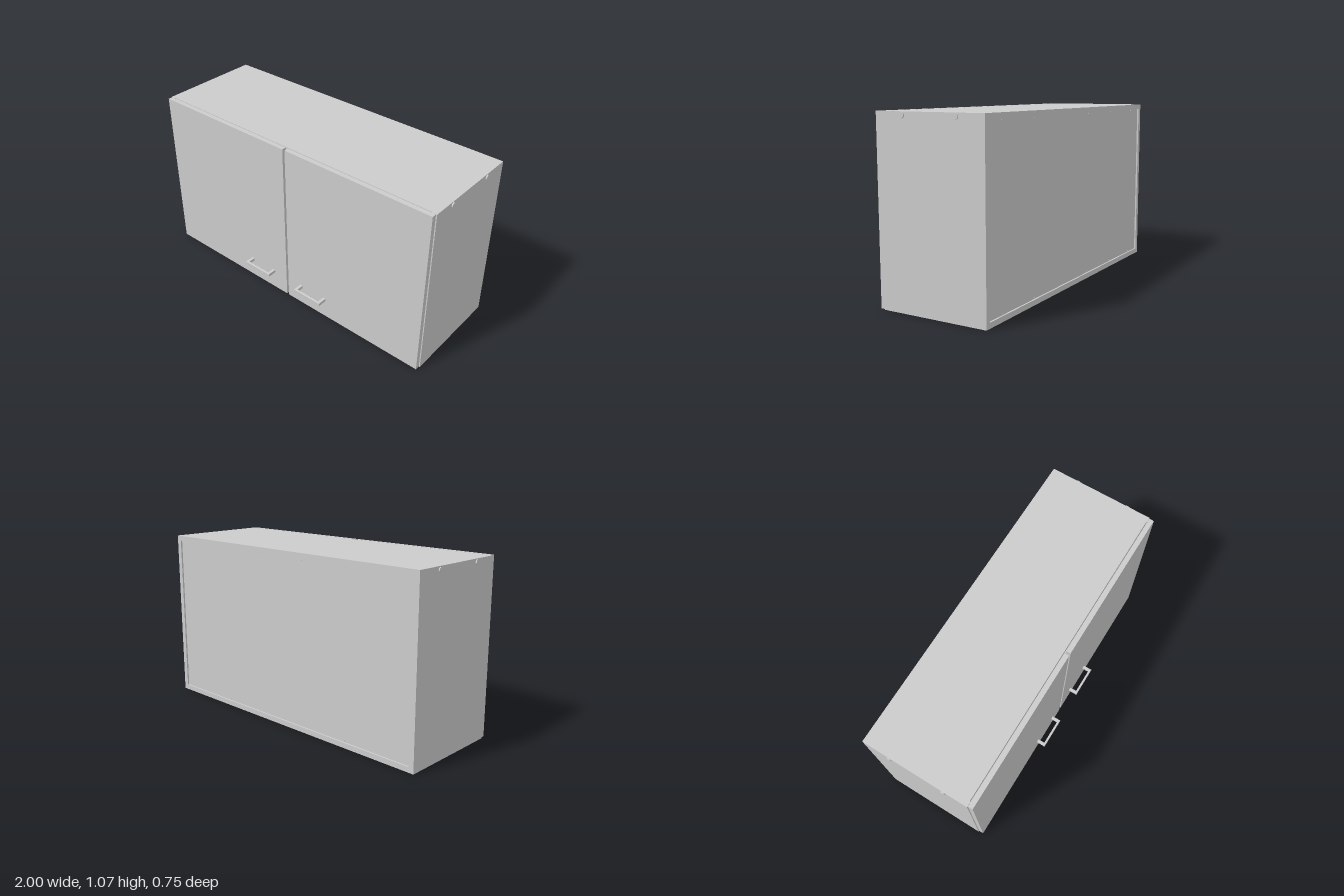
import * as THREE from 'three';

const H = 1.07, W = 0.993, T = 0.032;       // height, half width, board thickness
const BACK = -0.373, FRONT = 0.285, DOOR = 0.315;

export function createModel() {
  const root = new THREE.Group();
  root.name = 'wallCabinet';
  const mat = new THREE.MeshStandardMaterial({ color: 0xcccccc });

  const add = (name, geo) => {
    const mesh = new THREE.Mesh(geo, mat);
    mesh.name = name;
    root.add(mesh);
    return mesh;
  };
  // Box given by its limits on each axis
  const board = (name, x0, x1, y0, y1, z0, z1) => {
    const mesh = add(name, new THREE.BoxGeometry(x1 - x0, y1 - y0, z1 - z0));
    mesh.position.set((x0 + x1) / 2, (y0 + y1) / 2, (z0 + z1) / 2);
  };

  // Carcass: top and bottom between the sides, back panel slightly recessed
  const inner = W - T;
  board('topPanel', -inner, inner, H - T, H, BACK, FRONT - 0.005);
  board('bottomPanel', -inner, inner, 0, T, BACK, FRONT - 0.005);
  board('backPanel', -inner, inner, T, H - T, BACK + 0.01, BACK + 0.02);

  // U-shaped pull outline, in x and z, extruded along y with softened edges
  const b = 0.004;
  const pull = new THREE.Shape();
  const xo = 0.1025 - b, xi = 0.0825 + b;
  const zFront = 0.058 - b, zInner = 0.044 + b;
  pull.moveTo(-xo, -0.004);
  pull.lineTo(-xi, -0.004);
  pull.lineTo(-xi, zInner);
  pull.lineTo(xi, zInner);
  pull.lineTo(xi, -0.004);
  pull.lineTo(xo, -0.004);
  pull.lineTo(xo, zFront);
  pull.lineTo(-xo, zFront);
  pull.closePath();
  const pullGeo = new THREE.ExtrudeGeometry(pull, {
    depth: 0.022 - 2 * b, bevelEnabled: true, bevelSize: b, bevelThickness: b, bevelSegments: 3,
  });
  pullGeo.translate(0, 0, -0.011 + b);
  pullGeo.rotateX(Math.PI / 2);

  const capGeo = new THREE.CylinderGeometry(0.015, 0.015, 0.009, 24);
  capGeo.rotateZ(Math.PI / 2);
  const nailGeo = new THREE.CylinderGeometry(0.004, 0.004, 0.003, 10);
  nailGeo.rotateX(Math.PI / 2);

  for (const s of [1, -1]) {
    const side = s > 0 ? 'left' : 'right';
    const span = (a, c) => (s > 0 ? [a, c] : [-c, -a]);

    board(side + 'SidePanel', ...span(inner, W), 0, H, BACK, FRONT);
    board(side + 'Door', ...span(0.008, 0.987), 0.002, H, FRONT + 0.001, DOOR);

    const handle = add(side + 'Handle', pullGeo);
    handle.position.set(s * 0.21, 0.132, DOOR);

    // Round fixing caps near the top of the side
    for (const z of [0.135, -0.203]) {
      add(side + 'FixingCap', capGeo).position.set(s * 0.9955, 1.05, z);
    }

    // Small nails along the upper and lower edges of the back panel
    for (const x of [0.167, 0.5, 0.833]) {
      for (const y of [0.04, H - 0.04]) {
        add('backNail', nailGeo).position.set(s * x, y, BACK + 0.0095);
      }
    }
  }
  return root;
}
